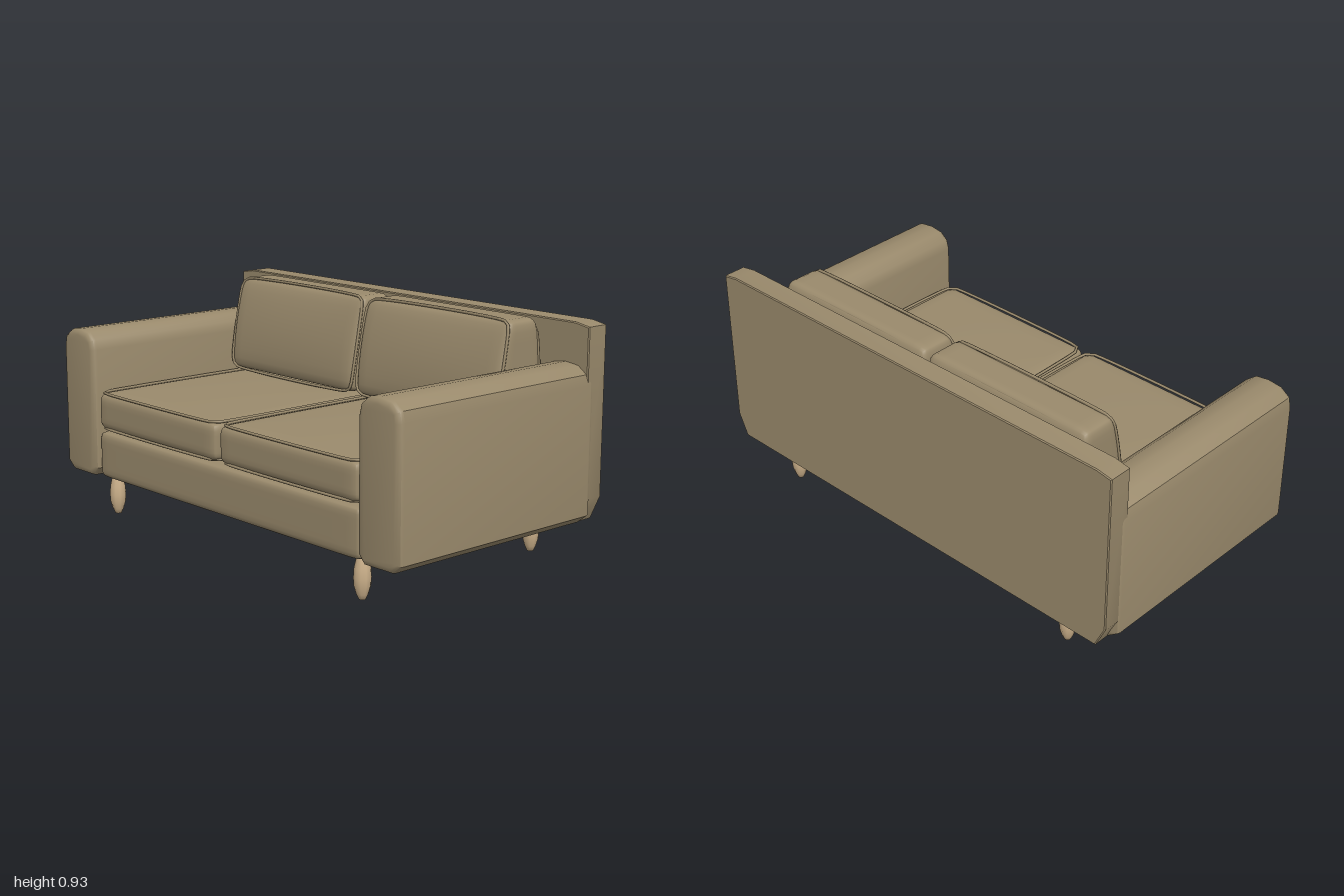
import * as THREE from 'three';
import { mergeVertices, toCreasedNormals } from 'three/addons/utils/BufferGeometryUtils.js';

const fabric = new THREE.MeshStandardMaterial({ color: 0x9a8a6c });
fabric.name = 'taupe fabric';
const wood = new THREE.MeshStandardMaterial({ color: 0xcbb08a });
wood.name = 'pale wood';

function addMesh(parent, name, geometry, material = fabric) {
  const mesh = new THREE.Mesh(geometry, material);
  mesh.name = name;
  parent.add(mesh);
  return mesh;
}

// Upholstered block between two corners; warp(p, u) may reshape each point
// (u is the position in the block, from -1 to 1 on each axis).
function softBlock(min, max, radius, warp) {
  const lo = new THREE.Vector3(...min), hi = new THREE.Vector3(...max);
  const half = hi.clone().sub(lo).multiplyScalar(0.5);
  const mid = hi.clone().add(lo).multiplyScalar(0.5);
  let geo = new THREE.BoxGeometry(2, 2, 2, 14, 12, 14);
  geo.deleteAttribute('normal');
  geo.deleteAttribute('uv');
  geo = mergeVertices(geo);
  const pos = geo.attributes.position;
  const p = new THREE.Vector3(), u = new THREE.Vector3(), core = new THREE.Vector3();
  const inner = half.clone().subScalar(radius);
  for (let i = 0; i < pos.count; i++) {
    p.fromBufferAttribute(pos, i);
    // pack the grid towards the edges, where the rounding is
    for (const a of ['x', 'y', 'z']) p[a] = Math.sign(p[a]) * (1 - (1 - Math.abs(p[a])) ** 2) * half[a];
    core.copy(p).clamp(inner.clone().negate(), inner);
    p.sub(core).setLength(radius).add(core);
    u.copy(p).divide(half);
    p.add(mid);
    if (warp) warp(p, u);
    pos.setXYZ(i, p.x, p.y, p.z);
  }
  geo.computeVertexNormals();
  return geo;
}

// Closed piping cord round a rectangle with rounded corners; place(a, b) maps to 3D
function piping(a0, a1, b0, b1, r, place) {
  const pts = [];
  const corners = [[a1 - r, b1 - r, 0], [a0 + r, b1 - r, 1], [a0 + r, b0 + r, 2], [a1 - r, b0 + r, 3]];
  for (const [ca, cb, q] of corners) {
    for (let k = 0; k <= 3; k++) {
      const t = (q + k / 3) * Math.PI / 2;
      pts.push(place(ca + r * Math.cos(t), cb + r * Math.sin(t)));
    }
  }
  const curve = new THREE.CatmullRomCurve3(pts, true, 'centripetal');
  return new THREE.TubeGeometry(curve, 80, 0.006, 6, true);
}

function outline(points) {
  return new THREE.Shape(points.map(([x, y]) => new THREE.Vector2(x, y)));
}

// Slope of the back cushion: z of its front and rear at height y
const cushionBottom = 0.53, cushionTop = 0.915;
const slope = y => (y - cushionBottom) / (cushionTop - cushionBottom);
const frontZ = y => -0.18 - 0.07 * slope(y) ** 2;
const rearZ = y => -0.435 + 0.035 * slope(y) ** 3;

export function createModel() {
  const sofa = new THREE.Group();
  sofa.name = 'sofa';

  // Back panel with clipped lower corners
  const backShape = outline([[-0.95, 0.16], [0.95, 0.16], [0.992, 0.25], [0.992, 0.897],
    [0.93, 0.908], [-0.93, 0.908], [-0.992, 0.897], [-0.992, 0.25]]);
  const back = new THREE.ExtrudeGeometry(backShape, {
    depth: 0.09, bevelThickness: 0.004, bevelSize: 0.004, bevelSegments: 1 });
  back.translate(0, 0, -0.524);
  addMesh(sofa, 'backPanel', toCreasedNormals(back, 0.6));

  // Seat base
  addMesh(sofa, 'seatBase', softBlock([-0.785, 0.155, -0.48], [0.785, 0.35, 0.51], 0.03));

  // Rounded arms
  const armShape = outline([[0.83, 0.18], [0.95, 0.18], [0.975, 0.2], [0.975, 0.68],
    [0.968, 0.71], [0.94, 0.73], [0.89, 0.736], [0.845, 0.73], [0.82, 0.71],
    [0.812, 0.68], [0.812, 0.2]]);
  for (const side of [1, -1]) {
    const arm = new THREE.ExtrudeGeometry(armShape, {
      depth: 0.947, bevelThickness: 0.024, bevelSize: 0.024, bevelSegments: 3 });
    arm.translate(-0.895, 0, -0.446);
    const mesh = addMesh(sofa, side > 0 ? 'leftArm' : 'rightArm', toCreasedNormals(arm, 0.7));
    mesh.position.x = 0.895 * side;
    mesh.rotation.y = 0;
    if (side < 0) { // mirror the profile by turning it, then restore front and rear
      mesh.geometry.rotateY(Math.PI);
      mesh.geometry.translate(0, 0, 0.055);
    }
  }

  for (const side of [1, -1]) {
    const word = side > 0 ? 'left' : 'right';
    const mid = 0.393 * side;

    // Seat cushion, slightly domed on top
    const seat = new THREE.Group();
    seat.name = word + 'SeatCushion';
    sofa.add(seat);
    addMesh(seat, 'seatPad', softBlock([mid - 0.385, 0.36, -0.43], [mid + 0.385, 0.512, 0.515], 0.035, (p, u) => {
      if (u.y > 0) p.y += 0.012 * u.y * (1 - u.x * u.x) * (1 - u.z * u.z);
    }));
    for (const y of [0.366, 0.512]) {
      addMesh(seat, 'seatPiping', piping(mid - 0.374, mid + 0.374, -0.42, 0.504, 0.04,
        (a, b) => new THREE.Vector3(a, y, -b + 0.084)));
    }

    // Back cushion, leaning and narrowing upwards
    const rest = new THREE.Group();
    rest.name = word + 'BackCushion';
    sofa.add(rest);
    addMesh(rest, 'backPad', softBlock([mid - 0.385, cushionBottom, -0.435], [mid + 0.385, cushionTop, -0.18], 0.04, (p, u) => {
      const t = (u.z + 1) / 2;
      p.z = rearZ(p.y) + t * (frontZ(p.y) - rearZ(p.y));
      if (u.z > 0) p.z += 0.008 * u.z * (1 - u.x * u.x) * (1 - u.y * u.y);
    }));
    addMesh(rest, 'frontPiping', piping(mid - 0.378, mid + 0.378, 0.535, 0.913, 0.04,
      (a, b) => new THREE.Vector3(a, b, frontZ(b) - 0.008)));
    addMesh(rest, 'rearPiping', piping(mid - 0.378, mid + 0.378, 0.535, 0.895, 0.04,
      (a, b) => new THREE.Vector3(a, b, rearZ(b) + 0.012)));
  }

  // Turned legs
  const legProfile = [[0, 0], [0.013, 0], [0.022, 0.02], [0.031, 0.05], [0.033, 0.08],
    [0.031, 0.115], [0.023, 0.15], [0.018, 0.17]].map(([r, y]) => new THREE.Vector2(r, y));
  for (const x of [-0.742, 0.742]) {
    for (const z of [-0.43, 0.45]) {
      const leg = addMesh(sofa, z > 0 ? 'frontLeg' : 'rearLeg', new THREE.LatheGeometry(legProfile, 10), wood);
      leg.position.set(x, 0, z);
    }
  }
  return sofa;
}
